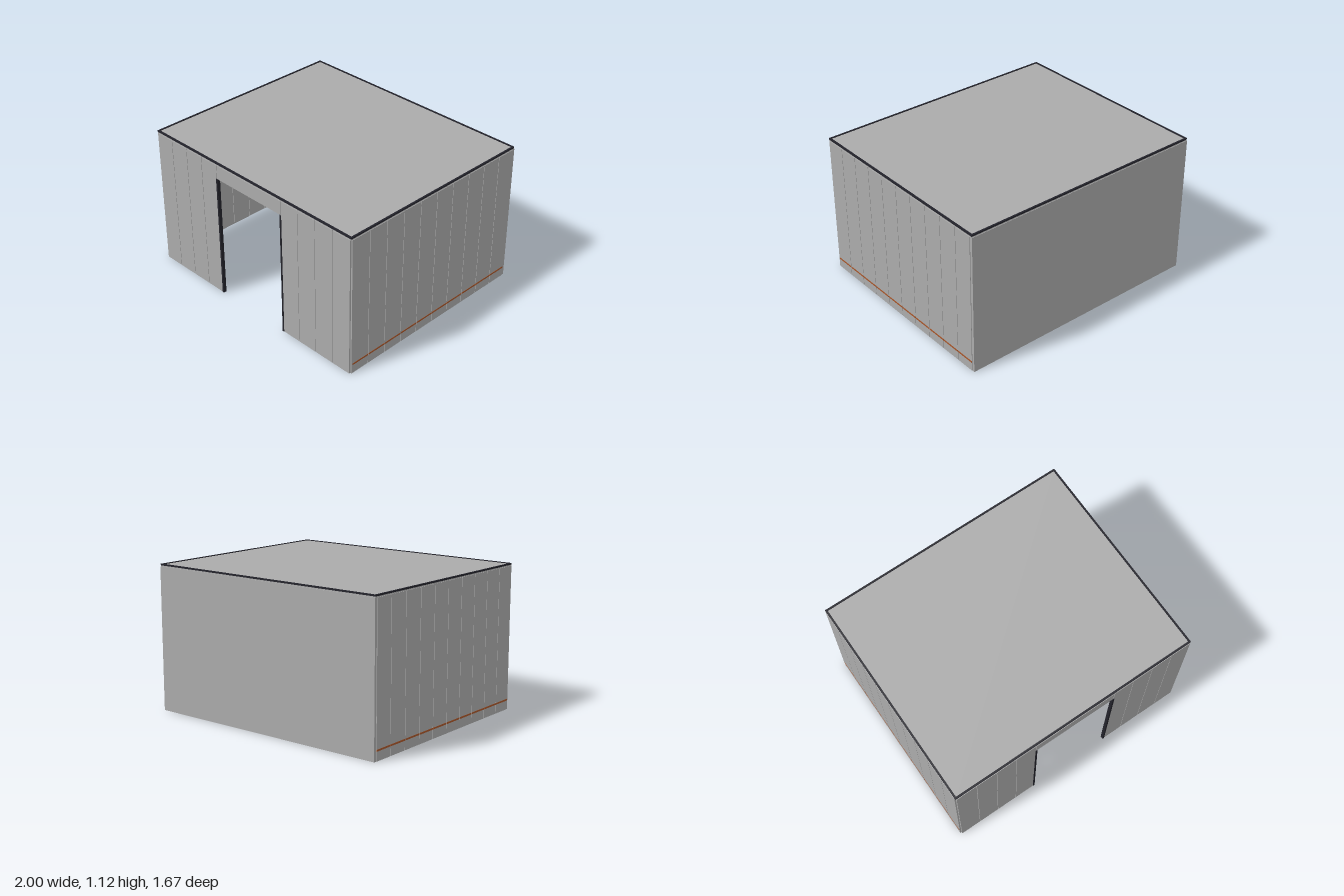
import * as THREE from 'three';

export function createModel() {
  const model = new THREE.Group();
  model.name = 'panelShelter';

  const mat = (name, color) => {
    const m = new THREE.MeshStandardMaterial({ color });
    m.name = name;
    return m;
  };
  const panelGrey = mat('panelGrey', 0xababab);
  const trimDark = mat('trimDark', 0x23232b);
  const stripeOrange = mat('stripeOrange', 0xa8562a);

  // Box given by its minimum and maximum corners
  const box = (name, material, x0, x1, y0, y1, z0, z1, parent = model) => {
    const mesh = new THREE.Mesh(new THREE.BoxGeometry(x1 - x0, y1 - y0, z1 - z0), material);
    mesh.position.set((x0 + x1) / 2, (y0 + y1) / 2, (z0 + z1) / 2);
    mesh.name = name;
    parent.add(mesh);
    return mesh;
  };
  const group = (name) => {
    const g = new THREE.Group();
    g.name = name;
    model.add(g);
    return g;
  };

  const W = 0.165;      // panel module
  const GAP = 0.002;    // half of the joint between panels
  const TOP = 1.1;      // wall height
  const DOOR_X = 0.33, DOOR_Y = 0.99;
  const FRONT = 0.835, THICK = 0.02;

  // Front wall: four panels on each side of the doorway
  const front = group('frontWall');
  for (const s of [-1, 1]) {
    for (let i = 2; i < 6; i++) {
      const a = s * (i * W + GAP), b = s * ((i + 1) * W - GAP);
      box('frontPanel', panelGrey, Math.min(a, b), Math.max(a, b), 0, TOP, FRONT - THICK, FRONT, front);
    }
  }
  box('doorLintel', panelGrey, -DOOR_X + GAP, DOOR_X - GAP, DOOR_Y, TOP, FRONT - THICK, FRONT, front);

  // Dark posts on both sides of the doorway
  for (const s of [-1, 1]) {
    const c = s * DOOR_X;
    box('doorPost', trimDark, c - 0.007, c + 0.007, 0, DOOR_Y, FRONT - THICK - 0.002, FRONT + 0.003);
  }

  // Back wall in one sheet
  box('backWall', panelGrey, -0.996, 0.996, 0, TOP, -FRONT, -FRONT + THICK);

  // Side walls: ten panels each, with a low stripe broken at every joint
  for (const s of [-1, 1]) {
    const side = group(s > 0 ? 'leftWall' : 'rightWall');
    for (let i = -5; i < 5; i++) {
      const z0 = Math.max(i * W + GAP, -0.813), z1 = (i + 1) * W - GAP;
      const x0 = s > 0 ? 0.98 : -0.999, x1 = s > 0 ? 0.999 : -0.98;
      box('sidePanel', panelGrey, x0, x1, 0, TOP, z0, z1, side);
      const e = s * 0.9995;
      box('sideStripe', stripeOrange, e - 0.001, e + 0.001, 0.069, 0.082,
        Math.max(z0 + 0.001, -0.812), Math.min(z1 - 0.001, 0.815), side);
    }
  }

  // Roof slab with a dark edging frame
  box('roof', panelGrey, -0.995, 0.995, TOP, 1.114, -0.831, 0.831);
  const edging = group('roofEdging');
  const X = 0.994, Z = 0.83, w = 0.012;
  for (const s of [-1, 1]) {
    box('longEdging', trimDark, -X, X, 1.107, 1.119, s * (Z - w / 2) - w / 2, s * (Z - w / 2) + w / 2, edging);
    box('shortEdging', trimDark, s * (X - w / 2) - w / 2, s * (X - w / 2) + w / 2, 1.107, 1.119, -Z + w, Z - w, edging);
  }
  // Dark outer faces of the edging, just proud of the slab
  for (const s of [-1, 1]) {
    box('edgingFace', trimDark, -X, X, 1.108, 1.119, s * 0.8305 - 0.0015, s * 0.8305 + 0.0015, edging);
    box('edgingFace', trimDark, s * 0.9945 - 0.0015, s * 0.9945 + 0.0015, 1.108, 1.119, -Z, Z, edging);
  }
  return model;
}
